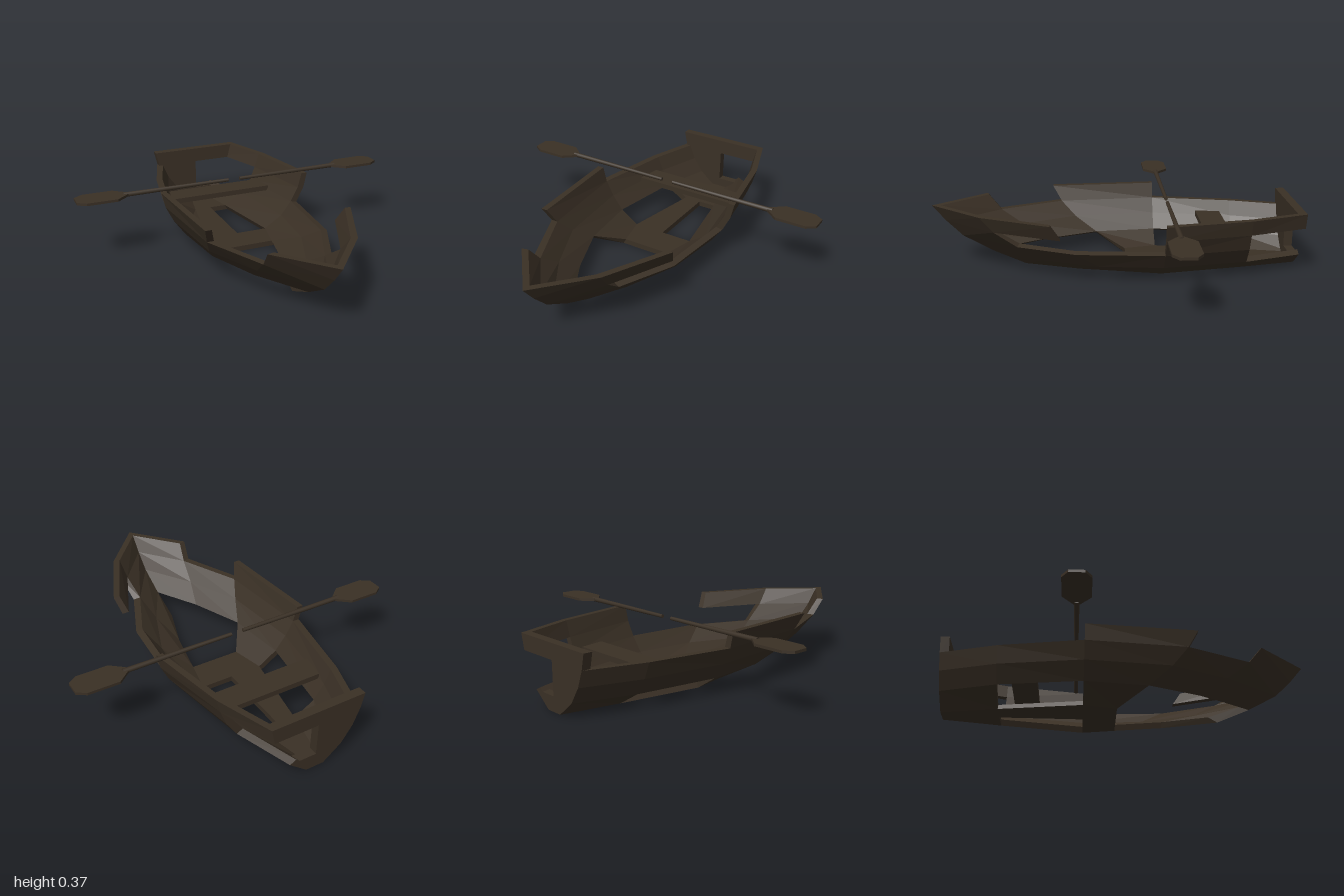
import * as THREE from 'three';

const wood = new THREE.MeshStandardMaterial({ color: 0x3a3025 });
wood.name = 'dark weathered wood';

// Hull stations, stern to bow: z and half-width at each plank seam
const SEAM_Y = [0.01, 0.01, 0.09, 0.18, 0.27, 0.355];
const STATION_Z = [
  [-1, -1, -1, -1, -1, -1],
  [-0.69, -0.69, -0.69, -0.69, -0.69, -0.69],
  [-0.24, -0.24, -0.24, -0.24, -0.24, -0.24],
  [-0.06, -0.06, 0.1, 0.22, 0.3, 0.35],
  [0.2, 0.2, 0.4, 0.53, 0.65, 0.72],
  [0.5, 0.5, 0.68, 0.84, 0.93, 1],
];
const STATION_X = [
  [0, 0.05, 0.15, 0.21, 0.245, 0.265],
  [0, 0.115, 0.25, 0.31, 0.345, 0.37],
  [0, 0.195, 0.32, 0.385, 0.43, 0.45],
  [0, 0.155, 0.285, 0.345, 0.385, 0.41],
  [0, 0.1, 0.17, 0.21, 0.23, 0.24],
  [0, 0, 0, 0, 0, 0],
];
// Inward offset of the inner skin at each seam
const INSET_X = [0, 0.015, 0.035, 0.038, 0.038, 0.035];
const INSET_Y = [0.03, 0.03, 0.018, 0.008, 0, 0];

// Broken-out panels, written as "segment,strake" (strake 0 is the floor)
const MISSING_LEFT = ['0,2', '0,3', '1,0', '2,3', '2,4', '3,0', '3,3', '4,0'];
const MISSING_RIGHT = ['0,4', '1,1', '1,4', '3,0', '3,1', '3,4', '4,0', '4,1'];

function hullPoint(side, i, j, inner) {
  let x = STATION_X[i][j], y = SEAM_Y[j], z = STATION_Z[i][j];
  if (inner) {
    x = Math.max(0, x - INSET_X[j]);
    y += INSET_Y[j];
    if (i === 5) z -= 0.05;
    if (i === 4 && j > 1) z -= 0.01;
  }
  return [x * side, y, z];
}

// One side of the hull: thick panels with rims wherever a neighbour is gone
function hullSide(name, side, missing) {
  const pos = [];
  const has = (i, j) => i >= 0 && i < 5 && j >= 0 && j < 5 && !missing.includes(`${i},${j}`);
  const quad = (a, b, c, d) => {
    const order = side > 0 ? [a, b, c, a, c, d] : [a, c, b, a, d, c];
    order.forEach((p) => pos.push(...p));
  };
  for (let i = 0; i < 5; i++) {
    for (let j = 0; j < 5; j++) {
      if (!has(i, j)) continue;
      const corners = [[i + 1, j], [i, j], [i, j + 1], [i + 1, j + 1]];
      const out = corners.map(([a, b]) => hullPoint(side, a, b, false));
      const inn = corners.map(([a, b]) => hullPoint(side, a, b, true));
      quad(...out);
      quad(inn[3], inn[2], inn[1], inn[0]);
      const neighbours = [[i, j - 1], [i - 1, j], [i, j + 1], [i + 1, j]];
      neighbours.forEach(([a, b], k) => {
        if (has(a, b)) return;
        const n = (k + 1) % 4;
        quad(out[n], out[k], inn[k], inn[n]);
      });
    }
  }
  const geo = new THREE.BufferGeometry();
  geo.setAttribute('position', new THREE.Float32BufferAttribute(pos, 3));
  geo.computeVertexNormals();
  return addName(new THREE.Mesh(geo, wood), name);
}

function addName(object, name) {
  object.name = name;
  return object;
}

function plate(name, points, depth) {
  const shape = new THREE.Shape(points.map(([x, y]) => new THREE.Vector2(x, y)));
  const geo = new THREE.ExtrudeGeometry(shape, { depth, bevelEnabled: false });
  return addName(new THREE.Mesh(geo, wood), name);
}

// Oar lying across the gunwales, pointing to the given side
function oar(name, side) {
  const group = addName(new THREE.Group(), name);
  const shaftGeo = new THREE.CylinderGeometry(0.014, 0.01, 0.62, 8);
  shaftGeo.rotateZ(-side * Math.PI / 2);
  const shaft = addName(new THREE.Mesh(shaftGeo, wood), 'oarShaft');
  shaft.position.set(side * 0.345, 0.363, -0.284);
  const outline = [[0.63, -0.015], [0.7, -0.073], [0.87, -0.073], [0.918, -0.04],
    [0.918, 0.04], [0.87, 0.073], [0.7, 0.073], [0.63, 0.015]];
  const blade = plate('oarBlade', outline.map(([x, y]) => [x * side, y]), 0.014);
  blade.rotation.x = -Math.PI / 2;
  blade.position.set(0, 0.356, -0.284);
  group.add(shaft, blade);
  return group;
}

export function createModel() {
  const boat = addName(new THREE.Group(), 'brokenRowingBoat');

  boat.add(hullSide('leftHull', 1, MISSING_LEFT));
  boat.add(hullSide('rightHull', -1, MISSING_RIGHT));

  // Stern board with a broken opening on its left half
  const sternX = STATION_X[0];
  const rightEdge = [5, 4, 3, 2, 1].map((j) => [-sternX[j], SEAM_Y[j]]);
  const stern = plate('sternBoard', [
    ...rightEdge, [0.05, 0.01], [0.15, 0.09], [0, 0.09], [0, 0.27], [0.245, 0.27], [0.265, 0.355],
  ], 0.048);
  stern.position.z = -1;
  boat.add(stern);

  // Bench, wider toward the front
  const bench = plate('bench', [[-0.31, 0.49], [-0.285, 0.63], [0.285, 0.63], [0.31, 0.49]], 0.03);
  bench.rotation.x = -Math.PI / 2;
  bench.position.y = 0.18;
  boat.add(bench);

  boat.add(oar('leftOar', 1), oar('rightOar', -1));
  return boat;
}
